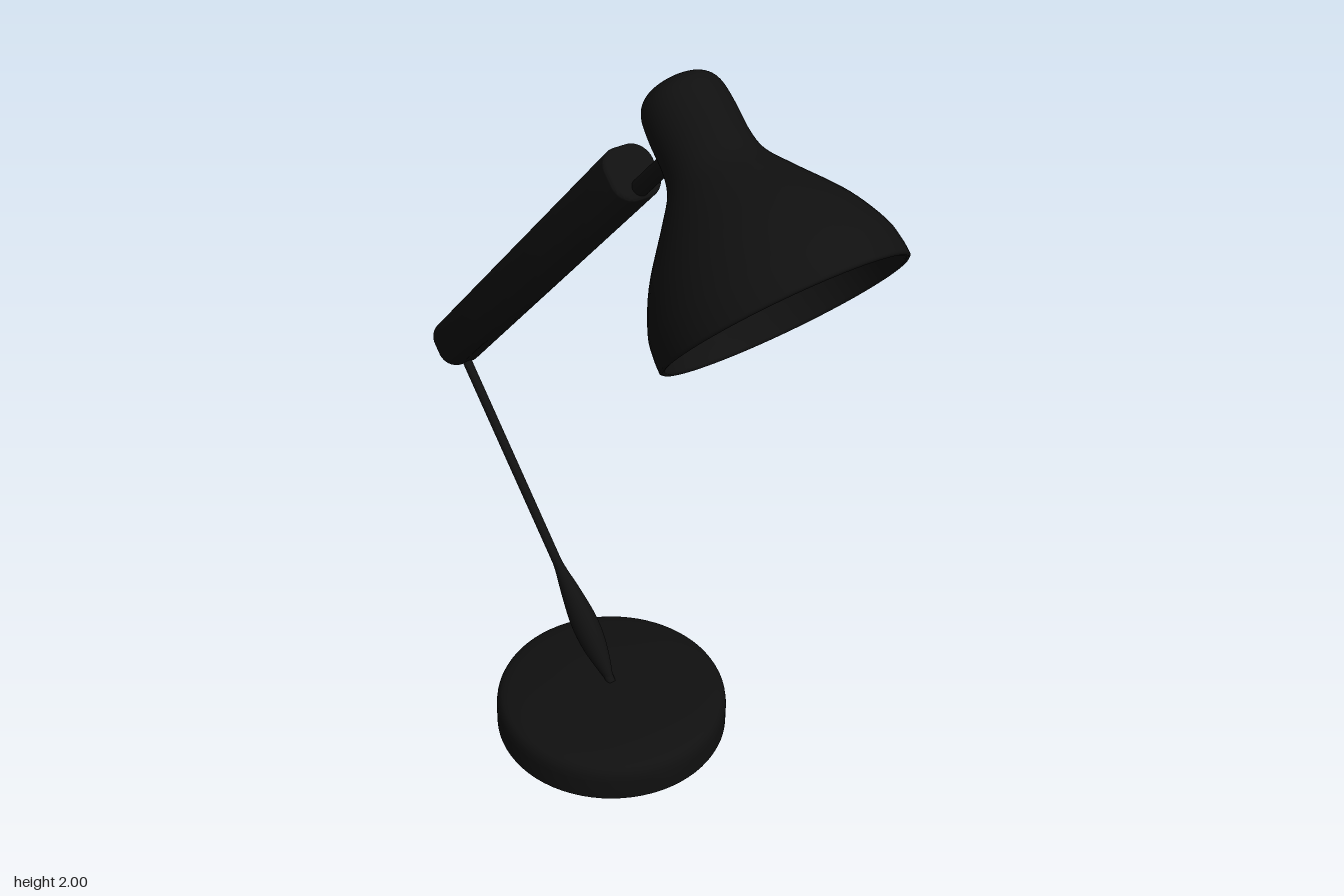
import * as THREE from 'three';
import { toCreasedNormals } from 'three/addons/utils/BufferGeometryUtils.js';

const black = new THREE.MeshStandardMaterial({ color: 0x101010 });
const blackThin = new THREE.MeshStandardMaterial({ color: 0x101010, side: THREE.DoubleSide });
const pale = new THREE.MeshStandardMaterial({ color: 0xeeeeee });

const v2 = (list) => list.map(([x, y]) => new THREE.Vector2(x, y));
const smooth = (list, n) => new THREE.SplineCurve(v2(list)).getPoints(n);

function part(name, geometry, material = black) {
  const mesh = new THREE.Mesh(geometry, material);
  mesh.name = name;
  return mesh;
}

// Stand a part whose length runs along +y on point a, aimed at point b
function aim(object, a, b) {
  const dir = new THREE.Vector3(b[0] - a[0], b[1] - a[1], 0).normalize();
  object.position.set(a[0], a[1], 0);
  object.quaternion.setFromUnitVectors(new THREE.Vector3(0, 1, 0), dir);
  return object;
}

function rod(name, a, b, r) {
  const length = Math.hypot(b[0] - a[0], b[1] - a[1]);
  return aim(part(name, new THREE.CylinderGeometry(r, r, length, 24).translate(0, length / 2, 0)), a, b);
}

// Bar with a rounded square section and softly bevelled ends
function roundedBar(half, corner, length) {
  const bevel = 0.008, h = half - bevel, c = h - corner;
  const s = new THREE.Shape();
  s.absarc(c, c, corner, 0, Math.PI / 2);
  s.absarc(-c, c, corner, Math.PI / 2, Math.PI);
  s.absarc(-c, -c, corner, Math.PI, Math.PI * 1.5);
  s.absarc(c, -c, corner, Math.PI * 1.5, Math.PI * 2);
  const g = new THREE.ExtrudeGeometry(s, {
    depth: length - 2 * bevel, curveSegments: 10,
    bevelEnabled: true, bevelThickness: bevel, bevelSize: bevel, bevelSegments: 3,
  });
  g.translate(0, 0, bevel).rotateX(-Math.PI / 2);
  return toCreasedNormals(g, 0.6);
}

export function createModel() {
  const lamp = new THREE.Group();
  lamp.name = 'deskLamp';

  // Weighted round base with a slightly domed top
  const baseProfile = [
    ...v2([[0, 0], [0.308, 0], [0.316, 0.003], [0.318, 0.008], [0.318, 0.04]]),
    ...smooth([[0.318, 0.065], [0.313, 0.09], [0.295, 0.108], [0.24, 0.12], [0.13, 0.13], [0, 0.132]], 24),
  ];
  lamp.add(part('base', new THREE.LatheGeometry(baseProfile, 72)));

  // Lower arm: slim rod rising from a spindle-shaped grip
  const foot = [0, 0.125], elbow = [-0.725, 0.84];
  lamp.add(rod('lowerRod', foot, elbow, 0.013));
  const spindle = smooth([[0.006, 0], [0.02, 0.05], [0.033, 0.12], [0.035, 0.19],
    [0.026, 0.27], [0.015, 0.34], [0.011, 0.38]], 30);
  const grip = aim(part('lowerGrip', new THREE.LatheGeometry(spindle, 32)), foot, elbow);
  grip.scale.x = 1.25;
  lamp.add(grip);

  // Upper arm and the rod that carries the head
  const armStart = [-0.753, 0.85], armEnd = [0.083, 1.705];
  const armLength = Math.hypot(armEnd[0] - armStart[0], armEnd[1] - armStart[1]);
  lamp.add(aim(part('upperArm', roundedBar(0.066, 0.042, armLength)), armStart, armEnd));
  lamp.add(rod('headRod', [0.06, 1.625], [0.28, 1.85], 0.021));

  // Head: shade and bulb share one tilted axis, rim at the origin
  const head = aim(new THREE.Group(), [0.612, 1.585], [0.612 - 0.72, 1.585 + 0.69]);
  head.name = 'head';
  const outer = [[0.281, 0.004], [0.279, 0.04], [0.268, 0.09], [0.225, 0.175], [0.15, 0.275],
    [0.112, 0.33], [0.1, 0.38], [0.098, 0.45], [0.092, 0.5], [0.075, 0.528], [0.045, 0.543], [0, 0.548]];
  const inner = [[0, 0.44], [0.07, 0.43], [0.088, 0.38], [0.1, 0.33], [0.138, 0.275],
    [0.212, 0.175], [0.256, 0.09], [0.267, 0.04], [0.27, 0.002]];
  const shade = [...smooth(inner, 40), new THREE.Vector2(0.276, 0), ...smooth(outer, 60)];
  head.add(part('shade', new THREE.LatheGeometry(shade, 72), blackThin));
  const bulb = part('bulb', new THREE.SphereGeometry(0.06, 32, 20), pale);
  bulb.position.y = 0.36;
  head.add(bulb);
  lamp.add(head);

  return lamp;
}
